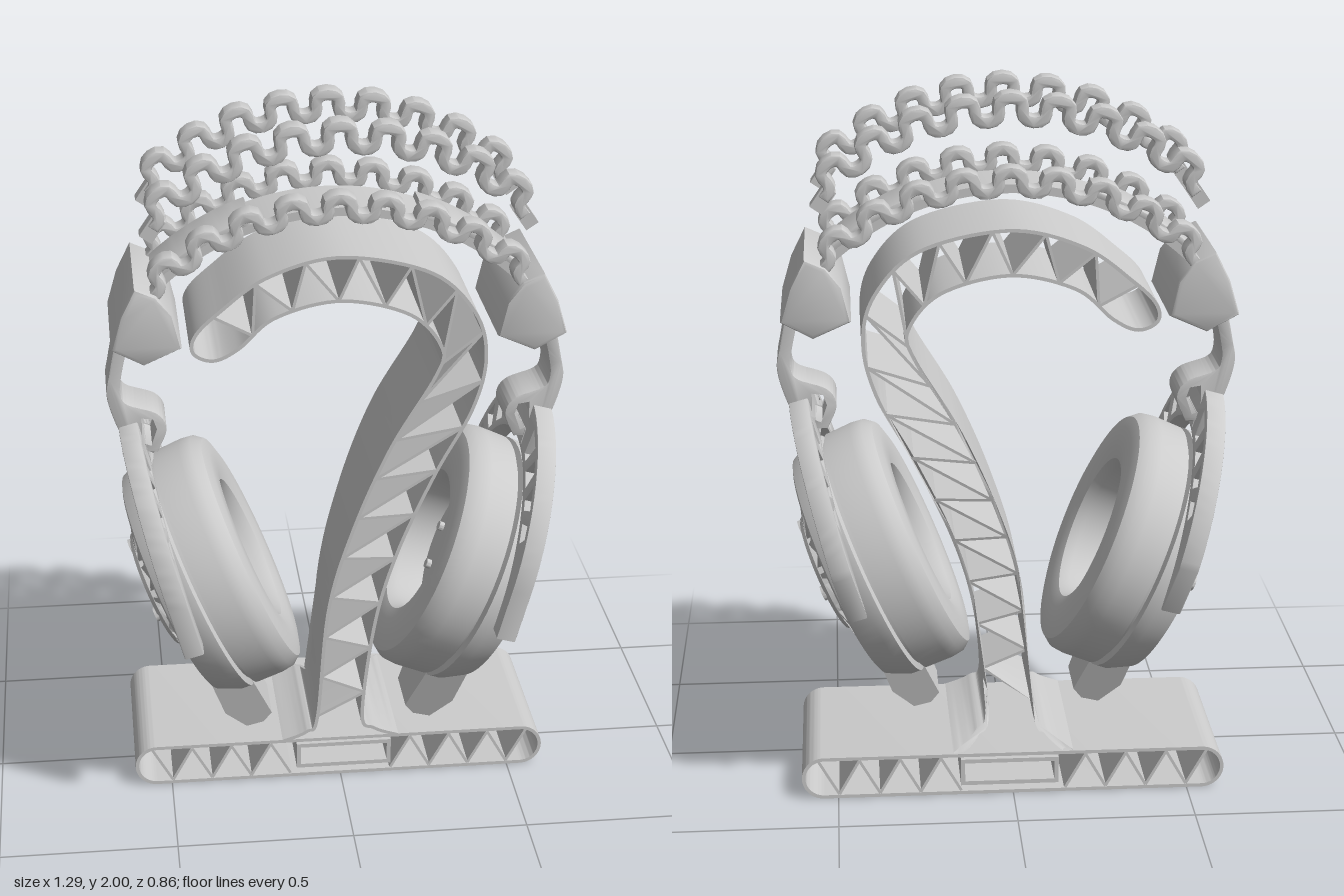
import * as THREE from 'three';
import { toCreasedNormals } from 'three/addons/utils/BufferGeometryUtils.js';

const material = new THREE.MeshStandardMaterial({ color: 0xcccccc, side: THREE.DoubleSide });
const V = (x, y) => new THREE.Vector2(x, y);
const pts = (list) => list.map(([x, y]) => V(x, y));
const polar = (r, a, cy = 0) => V(r * Math.cos(a), cy + r * Math.sin(a));

function add(parent, name, geometry) {
  const mesh = new THREE.Mesh(toCreasedNormals(geometry, 0.6), material);
  mesh.name = name;
  parent.add(mesh);
  return mesh;
}

function group(parent, name, x = 0, y = 0, tilt = 0) {
  const g = new THREE.Group();
  g.name = name;
  g.position.set(x, y, 0);
  g.rotation.z = tilt;
  parent.add(g);
  return g;
}

// Closed outline of a strip following a polyline
function strip(line, thickness) {
  const a = [], b = [];
  line.forEach((p, i) => {
    const d = line[Math.min(i + 1, line.length - 1)].clone().sub(line[Math.max(i - 1, 0)]).normalize();
    const n = V(-d.y, d.x).multiplyScalar(thickness / 2);
    a.push(p.clone().add(n));
    b.unshift(p.clone().sub(n));
  });
  return new THREE.Shape([...a, ...b]);
}

// Extrusion between two z values, with an optional rounded edge
function slab(shape, z0, z1, bevel = 0, curveSegments = 24) {
  return new THREE.ExtrudeGeometry(shape, {
    depth: z1 - z0 - 2 * bevel, curveSegments, bevelEnabled: bevel > 0,
    bevelSize: bevel, bevelThickness: bevel, bevelSegments: 2,
  }).translate(0, 0, z0 + bevel);
}

// Turned part whose axis is +x; profile is [radius, x]
const turned = (profile, n = 64) => new THREE.LatheGeometry(pts(profile), n).rotateZ(-Math.PI / 2);

// Baked mirror image across x = 0
function mirrored(source) {
  const copy = new THREE.Group();
  source.updateMatrixWorld(true);
  source.traverse((o) => {
    if (!o.isMesh) return;
    const g = o.geometry.clone().applyMatrix4(o.matrixWorld).scale(-1, 1, 1);
    for (const attr of [g.attributes.position, g.attributes.normal]) {
      const k = attr.array;
      for (let i = 0; i < k.length; i += 9)
        for (let c = 3; c < 6; c++) [k[i + c], k[i + c + 3]] = [k[i + c + 3], k[i + c]];
    }
    g.computeVertexNormals();
    add(copy, o.name, g);
  });
  return copy;
}

function buildStand(root) {
  const stand = group(root, 'stand');
  const FRONT = 0.165, BACK = -0.325;
  // Rear edge: flares into the base, widens again towards the hook
  const rear = (y) => {
    if (y < 0.125) return BACK;
    if (y < 0.265) return -0.06 - 0.265 * (1 - (y - 0.125) / 0.14) ** 2;
    return -0.06 - 0.15 * THREE.MathUtils.smoothstep(y, 0.265, 1.1);
  };
  const wall = (name, line, t) => {
    const g = slab(strip(line, t), 0, 1), p = g.attributes.position;
    for (let i = 0; i < p.count; i++)
      p.setZ(i, THREE.MathUtils.lerp(rear(p.getY(i)), FRONT, p.getZ(i)));
    add(stand, name, g);
  };
  const inner = pts([[-0.17, 0.122], [-0.1, 0.15], [-0.068, 0.2], [-0.035, 0.55], [0.035, 0.8], [0.14, 1.05],
    [0.265, 1.265], [0.28, 1.35], [0.19, 1.45], [0, 1.497], [-0.18, 1.455], [-0.28, 1.37], [-0.35, 1.337]]);
  const outer = pts([[0.17, 0.122], [0.1, 0.15], [0.064, 0.2], [0.1, 0.5], [0.165, 0.73], [0.27, 0.97],
    [0.37, 1.16], [0.405, 1.315], [0.37, 1.45], [0.245, 1.57], [0, 1.622], [-0.2, 1.572], [-0.335, 1.475],
    [-0.4, 1.41], [-0.405, 1.36]]);
  wall('neckSkin', new THREE.SplineCurve([...inner, ...[...outer].reverse()]).getPoints(220), 0.01);

  // Zigzag web inside the neck and hook
  const ci = new THREE.SplineCurve(inner.slice(2)), co = new THREE.SplineCurve(outer.slice(2, 14));
  const n = 30, node = (i) => (i % 2 ? co : ci).getPointAt(i / n);
  for (let i = 0; i < n - 1; i++) wall('neckStrut', [node(i), node(i + 1)], 0.008);

  // Hollow base with rounded ends
  const stadium = (C, r) => {
    const s = new C();
    s.absarc(0.54, 0.063, r, -Math.PI / 2, Math.PI / 2);
    s.absarc(-0.543, 0.063, r, Math.PI / 2, Math.PI * 1.5);
    s.closePath();
    return s;
  };
  const base = stadium(THREE.Shape, 0.063);
  base.holes.push(stadium(THREE.Path, 0.053));
  add(stand, 'baseSkin', slab(base, BACK, FRONT));
  for (const s of [-1, 1]) for (let i = 0; i < 7; i++) {
    const q = (k) => V(s * (0.555 - k * 0.058), k % 2 ? 0.012 : 0.115);
    add(stand, 'baseStrut', slab(strip([q(i), q(i + 1)], 0.008), BACK, FRONT));
  }
  const frame = new THREE.Shape(pts([[-0.13, 0.028], [0.15, 0.028], [0.15, 0.108], [-0.13, 0.108]]));
  frame.holes.push(new THREE.Path(pts([[-0.118, 0.04], [-0.118, 0.096], [0.138, 0.096], [0.138, 0.04]])));
  add(stand, 'baseSocket', slab(frame, BACK, FRONT));
}

function buildHeadband(root) {
  const band = group(root, 'headband');
  const arc = (r, cy, a0, a1, n = 48) => Array.from({ length: n + 1 }, (_, i) =>
    polar(r, Math.PI / 2 - a0 - (a1 - a0) * i / n, cy));
  add(band, 'bandPanel', slab(strip(arc(0.725, 0.995, -0.78, 0.78), 0.024), -0.13, 0.07));
  for (const s of [-1, 1])
    add(band, 'sliderPlate', slab(strip(arc(0.743, 0.995, s * 0.33, s * 0.74, 16), 0.014), -0.13, 0.07, 0.003));

  // Wavy side strips: one pair on the band, one pair floating above
  const wave = (R, cy, A) => Array.from({ length: 127 }, (_, i) => {
    const u = (i / 126 - 0.5) * 9, a = u * 0.168, k = u * Math.PI * 2;
    return polar(R + A * Math.cos(k), Math.PI / 2 - a - 0.011 * Math.sin(2 * k) / R, cy);
  });
  for (const z of [-0.22, 0.092]) {
    add(band, 'lowerWave', slab(strip(wave(0.76, 0.995, 0.027), 0.018), z, z + 0.065, 0.007));
    add(band, 'upperWave', slab(strip(wave(0.76, 1.192, 0.032), 0.018), z, z + 0.065, 0.007));
    for (const s of [-1, 1]) {
      const tab = new THREE.BoxGeometry(0.04, 0.07, 0.05).rotateZ(s * 0.6);
      add(band, 'waveEndTab', tab.translate(s * 0.505, 1.715, z + 0.032));
    }
  }
}

function buildSide(root) {
  // Band end cap
  add(root, 'endCap', slab(new THREE.Shape(pts([[0.555, 1.54], [0.59, 1.47], [0.615, 1.385], [0.54, 1.345],
    [0.45, 1.385], [0.47, 1.47], [0.51, 1.52]])), -0.23, 0.175, 0.012));

  // Curved arm with a slotted foot
  const arm = new THREE.Shape();
  arm.moveTo(0.605, 1.4);
  arm.splineThru(pts([[0.632, 1.27], [0.64, 1.2], [0.61, 1.1], [0.57, 1.035]]));
  arm.lineTo(0.51, 1.035);
  arm.splineThru(pts([[0.485, 1.1], [0.51, 1.145], [0.59, 1.175], [0.61, 1.21], [0.605, 1.27], [0.575, 1.4]]));
  arm.holes.push(new THREE.Path(pts([[0.508, 1.1], [0.518, 1.13], [0.55, 1.135], [0.55, 1.06], [0.525, 1.05]])));
  add(root, 'arm', slab(arm, -0.085, 0.07, 0.004));

  // Half-ring yoke with triangular cut-outs
  const yoke = group(root, 'yoke', 0.436, 0.57, -0.273);
  const ring = new THREE.Shape();
  ring.moveTo(0.425, 0);
  ring.absarc(0, 0.145, 0.425, 0, Math.PI);
  ring.lineTo(-0.425, 0);
  ring.lineTo(-0.375, 0);
  ring.absarc(0, 0.07, 0.375, Math.PI, 0, true);
  ring.lineTo(0.375, 0);
  for (const s of [-1, 1]) for (let i = 0; i < 4; i++) {
    const a = 0.5 + i * 0.22, w = [0.05, 0.085], out = i % 2;
    const q = (edge, d) => {
      const ang = a + d, sn = Math.sin(ang);
      const p = polar(edge ? 0.409 + 0.045 * sn : 0.391 - 0.03 * sn, ang, 0.1);
      return V(s * p.x, p.y);
    };
    ring.holes.push(new THREE.Path([q(0, -w[1 - out]), q(1, -w[out]), q(1, w[out]), q(0, w[1 - out])]));
  }
  add(yoke, 'yokeRing', slab(ring, -0.028, 0.028, 0.004, 32).rotateY(Math.PI / 2));
  add(yoke, 'yokeClip', new THREE.BoxGeometry(0.07, 0.045, 0.15).translate(0.005, 0.47, 0));

  // Ear cup: local x points outward along the cup axis
  const cup = group(root, 'earCup', 0.235, 0.69, -0.41);
  add(cup, 'earPad', turned([[0.2, 0.15], [0.2, 0.04], [0.215, 0.012], [0.25, 0], [0.31, 0], [0.345, 0.01],
    [0.365, 0.035], [0.37, 0.07], [0.368, 0.15], [0.2, 0.15]]));
  add(cup, 'driverPlate', turned([[0, 0.12], [0.21, 0.12], [0.21, 0.14]]));
  add(cup, 'cupShell', turned([[0, 0.15], [0.35, 0.15], [0.35, 0.162], [0.37, 0.168], [0.368, 0.2], [0.34, 0.262],
    [0.325, 0.268], [0.31, 0.255], [0.31, 0.225], [0, 0.225]]));
  for (const r of [0.03, 0.06, 0.09])
    add(cup, 'driverRib', new THREE.TorusGeometry(r, 0.007, 6, 32).rotateY(Math.PI / 2).translate(0.12, 0, 0));
  for (let i = 0; i < 8; i++) {
    const p = polar(0.155, i * Math.PI / 4);
    add(cup, 'driverScrew', new THREE.CylinderGeometry(0.014, 0.014, 0.02, 12).rotateZ(Math.PI / 2)
      .translate(0.115, p.y, p.x));
  }

  // Sloping grille with ten spoke openings over concentric louvres
  const grille = new THREE.Shape().absarc(0, 0, 0.318, 0, Math.PI * 2);
  for (let i = 0; i < 10; i++) {
    const a = (i + 0.5) * Math.PI / 5;
    for (const s of [-1, 1])
      grille.holes.push(new THREE.Path([polar(0.2, a + s * 0.03), polar(0.295, a + s * 0.035),
        polar(0.295, a + s * 0.2), polar(0.255, a + s * 0.2), polar(0.2, a + s * 0.13)]));
  }
  const gg = slab(grille, 0, 0.022, 0, 32), p = gg.attributes.position;
  for (let i = 0; i < p.count; i++)
    p.setZ(i, p.getZ(i) + 0.285 - Math.max(0, Math.hypot(p.getX(i), p.getY(i)) - 0.18) * 0.33);
  add(cup, 'grille', gg.rotateY(Math.PI / 2));
  for (const r of [0.215, 0.24, 0.265, 0.29])
    add(cup, 'louvre', new THREE.TorusGeometry(r, 0.006, 6, 48).rotateY(Math.PI / 2).translate(0.24, 0, 0));
  add(cup, 'hub', turned([[0.18, 0.225], [0.183, 0.305], [0.175, 0.316], [0, 0.316]]));
  for (let i = 0; i < 4; i++) {
    const q = polar(0.155, i * Math.PI / 2);
    add(cup, 'hubScrew', new THREE.CylinderGeometry(0.022, 0.022, 0.016, 16).rotateZ(Math.PI / 2)
      .translate(0.316, q.y, q.x));
  }

  // Tapered chin below the cup
  const chin = slab(new THREE.Shape(pts([[0.165, -0.28], [0.165, -0.47], [0.2, -0.49], [0.25, -0.48],
    [0.285, -0.4], [0.275, -0.28]])), -0.5, 0.5), c = chin.attributes.position;
  for (let i = 0; i < c.count; i++)
    c.setZ(i, 0.035 + c.getZ(i) * THREE.MathUtils.mapLinear(c.getY(i), -0.49, -0.28, 0.15, 0.27));
  add(cup, 'chin', chin);
}

export function createModel() {
  const model = new THREE.Group();
  model.name = 'headsetOnStand';
  buildStand(model);
  buildHeadband(model);
  const left = new THREE.Group();
  left.name = 'leftSide';
  buildSide(left);
  const right = mirrored(left);
  right.name = 'rightSide';
  model.add(left, right);
  return model;
}
